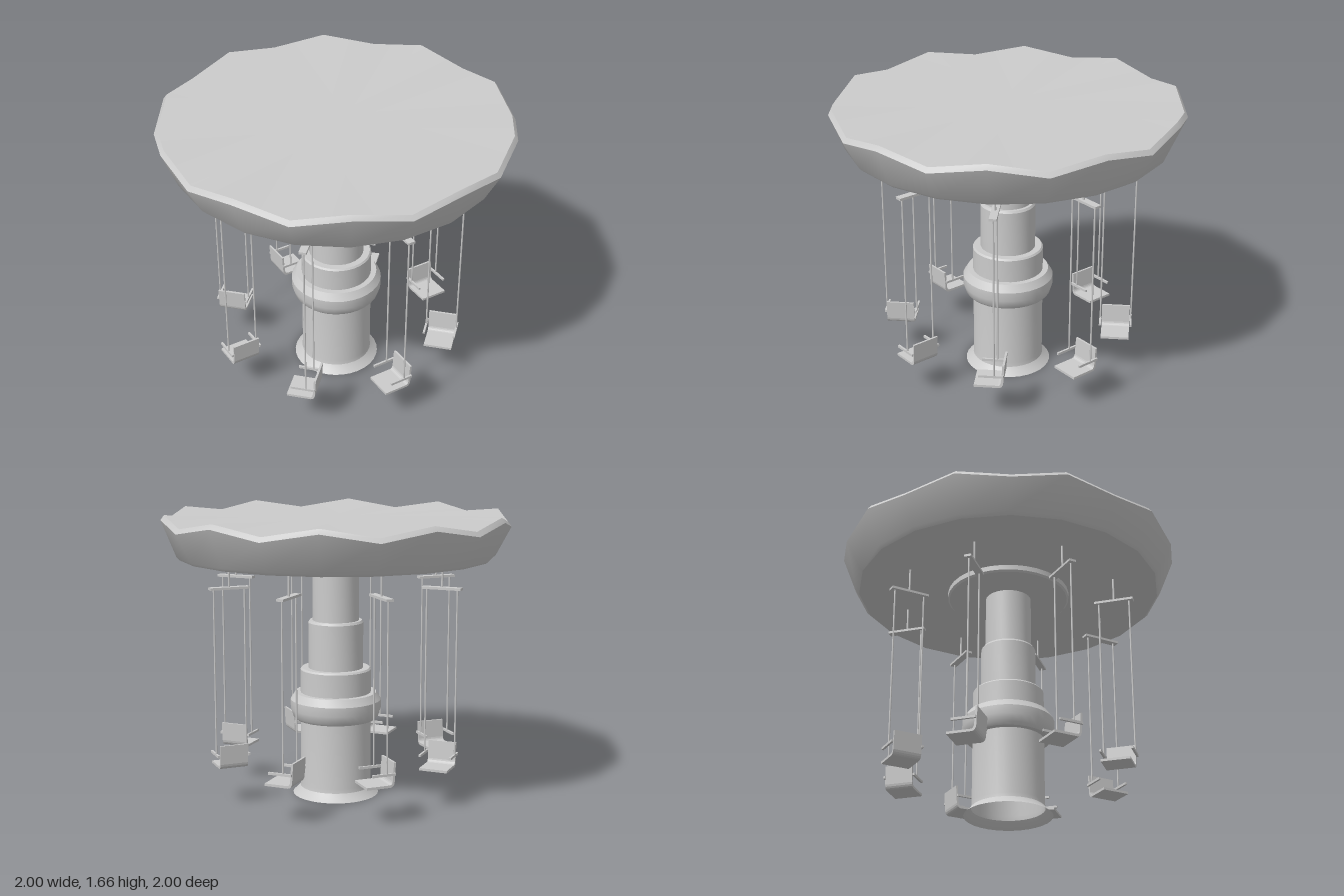
import * as THREE from 'three';
import { toCreasedNormals } from 'three/addons/utils/BufferGeometryUtils.js';

const grey = new THREE.MeshStandardMaterial({ color: 0xcccccc });
const greyDouble = new THREE.MeshStandardMaterial({ color: 0xcccccc, side: THREE.DoubleSide });

function addMesh(parent, name, geometry, x = 0, y = 0, z = 0, material = grey) {
  const mesh = new THREE.Mesh(geometry, material);
  mesh.name = name;
  mesh.position.set(x, y, z);
  parent.add(mesh);
  return mesh;
}

function lathe(points, segments) {
  const geo = new THREE.LatheGeometry(points.map(([r, y]) => new THREE.Vector2(r, y)), segments);
  return toCreasedNormals(geo, 0.45);
}

// Twenty-sided dish whose rim alternates between peaks and valleys
function canopyGeometry() {
  const sides = 20;
  // radius, height, wave height
  const rings = [
    [0, 1.405, 0], [0.897, 1.405, 0], [0.915, 1.422, 0],
    [1, 1.608, 0.025], [0.98, 1.635, 0.025], [0, 1.62, 0],
  ];
  const corner = (ring, i) => {
    const [r, y, wave] = rings[ring];
    const a = (i / sides) * Math.PI * 2;
    return [r * Math.cos(a), y + (i % 2 ? -wave : wave), -r * Math.sin(a)];
  };
  const pos = [];
  for (let k = 0; k < rings.length - 1; k++) {
    for (let i = 0; i < sides; i++) {
      const a = corner(k, i), b = corner(k, i + 1);
      const c = corner(k + 1, i + 1), d = corner(k + 1, i);
      if (rings[k][0] > 0) pos.push(...a, ...b, ...c);
      if (rings[k + 1][0] > 0) pos.push(...a, ...c, ...d);
      else if (rings[k][0] === 0) pos.push(...a, ...c, ...d);
    }
  }
  const geo = new THREE.BufferGeometry();
  geo.setAttribute('position', new THREE.Float32BufferAttribute(pos, 3));
  return toCreasedNormals(geo, 0.5);
}

// Bent seat and backrest, extruded across the width of the chair
function chairGeometry(width) {
  const s = new THREE.Shape();
  s.moveTo(-0.115, 0.22);
  s.lineTo(0.025, 0.22);
  s.quadraticCurveTo(0.046, 0.222, 0.05, 0.25);
  s.lineTo(0.057, 0.36);
  s.lineTo(0.045, 0.36);
  s.lineTo(0.038, 0.255);
  s.quadraticCurveTo(0.035, 0.235, 0.02, 0.234);
  s.lineTo(-0.115, 0.234);
  s.closePath();
  const geo = new THREE.ExtrudeGeometry(s, { depth: width, bevelEnabled: false, curveSegments: 4 });
  return geo.translate(0, 0, -width / 2);
}

export function createModel() {
  const model = new THREE.Group();
  model.name = 'swingCarousel';

  addMesh(model, 'canopy', canopyGeometry());

  // Bevelled plate below the canopy
  addMesh(model, 'hubPlate', lathe([
    [0, 1.365], [0.352, 1.365], [0.362, 1.375], [0.362, 1.41], [0.35, 1.42], [0, 1.42],
  ], 32));

  // Stepped telescopic column with a flared, open foot
  addMesh(model, 'column', lathe([
    [0.252, 0], [0.225, 0.025], [0.209, 0.045], [0.206, 0.07],
    [0.206, 0.745], [0.198, 0.755], [0.16, 0.755],
    [0.16, 1.022], [0.152, 1.035], [0.135, 1.035], [0.135, 1.37],
  ], 32), 0, 0, 0, greyDouble);

  addMesh(model, 'columnCollar', lathe([
    [0.2, 0.455], [0.238, 0.455], [0.251, 0.47], [0.265, 0.515],
    [0.265, 0.567], [0.238, 0.61], [0.2, 0.61],
  ], 32));

  // Eight swings hanging around the column, each facing along the ring
  const radius = 0.645, ropeOffset = 0.09;
  const rod = new THREE.CylinderGeometry(0.006, 0.006, 0.16, 8);
  const bar = new THREE.BoxGeometry(0.042, 0.014, 0.23);
  const rope = new THREE.CylinderGeometry(0.005, 0.005, 0.95, 8);
  const arm = new THREE.BoxGeometry(0.138, 0.014, 0.012);
  const chair = chairGeometry(0.165);
  for (let i = 0; i < 8; i++) {
    const swing = new THREE.Group();
    swing.name = 'swing' + (i + 1);
    swing.rotation.y = (i * Math.PI) / 4;
    addMesh(swing, 'hangerRod', rod, 0, 1.33, radius);
    addMesh(swing, 'crossBar', bar, 0, 1.255, radius);
    addMesh(swing, 'seat', chair, 0, 0, radius);
    for (const side of [-1, 1]) {
      const z = radius + side * ropeOffset;
      addMesh(swing, 'rope', rope, 0, 0.775, z);
      addMesh(swing, 'armrest', arm, -0.018, 0.297, z);
    }
    model.add(swing);
  }
  return model;
}
